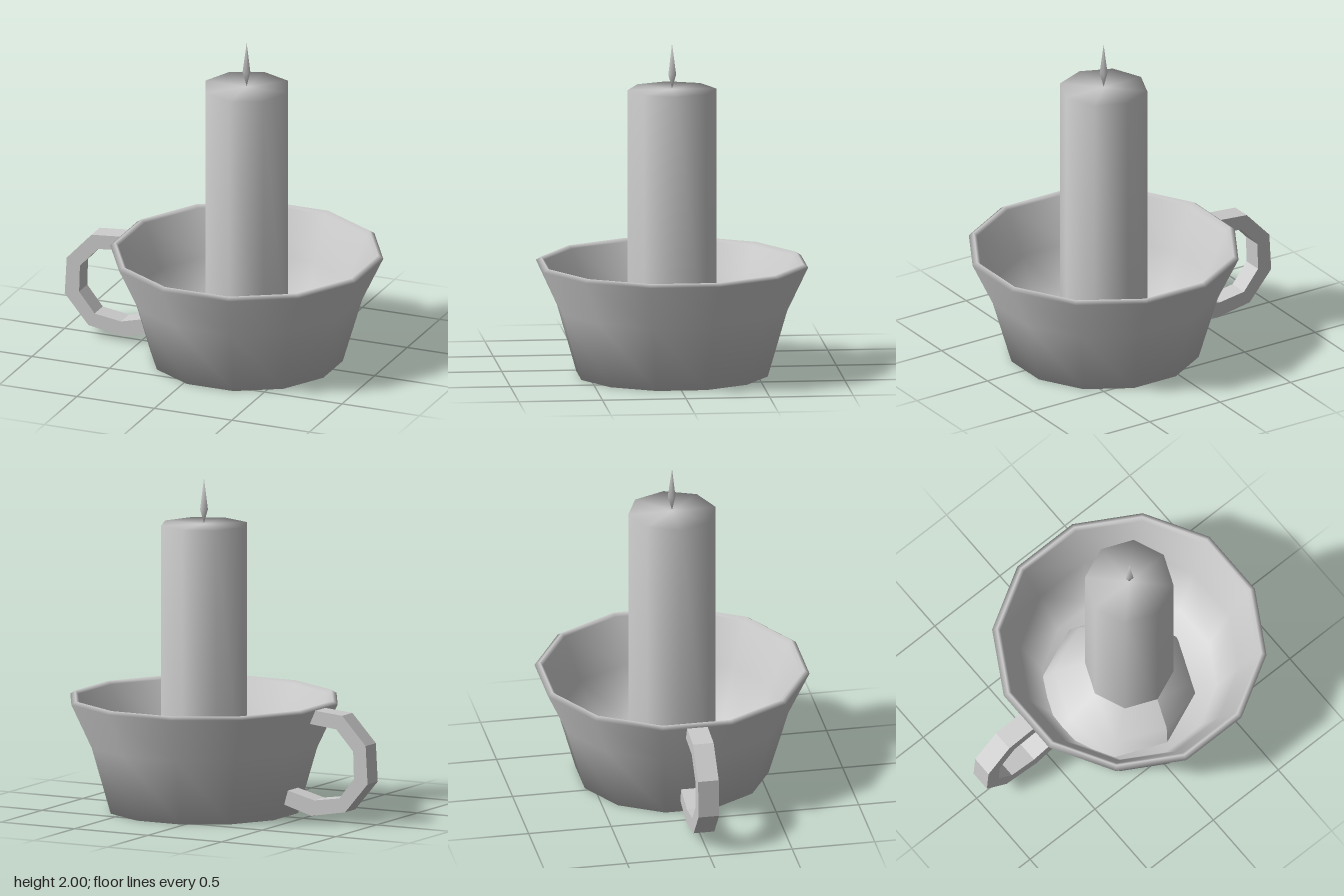
import * as THREE from 'three';

const AXIS_X = 0.175; // the bowl and candle stand off-centre to balance the handle

const material = () => new THREE.MeshStandardMaterial({ color: 0xcccccc });

// Faceted turned part from [radius, height] pairs, listed from the outside bottom upward.
function turned(name, profile, sides, turn = 0) {
  const points = profile.map(([r, y]) => new THREE.Vector2(r, y));
  const mesh = new THREE.Mesh(new THREE.LatheGeometry(points, sides, turn), material());
  mesh.name = name;
  mesh.position.x = AXIS_X;
  return mesh;
}

export function createModel() {
  const group = new THREE.Group();
  group.name = 'candleHolder';

  // Twelve-sided bowl with a thin wall and a bevelled rim
  group.add(turned('bowl', [
    [0, 0], [0.577, 0], [0.694, 0.4], [0.82, 0.665], [0.79, 0.685],
    [0.77, 0.665], [0.655, 0.4], [0.52, 0.05], [0, 0.05],
  ], 12, Math.PI / 12));

  // Eight-sided candle
  group.add(turned('candle', [[0.265, 0.05], [0.265, 1.72], [0, 1.72]], 8));

  // Pool of melted wax, its foot leaning toward the handle
  const wax = turned('meltedWax', [[0.46, 0.05], [0.41, 0.13], [0.26, 0.24]], 8);
  const pos = wax.geometry.attributes.position;
  for (let i = 0; i < pos.count; i++) {
    pos.setX(i, pos.getX(i) - 0.085 * (0.24 - pos.getY(i)) / 0.19);
  }
  wax.geometry.computeVertexNormals();
  group.add(wax);

  // Three-sided flame
  group.add(turned('flame', [[0, 1.725], [0.027, 1.81], [0, 2]], 3, -Math.PI / 2));

  // Angular handle, cut from a flat C shape
  const outline = [
    [-0.59, 0.668], [-0.8, 0.65], [-0.96, 0.48], [-0.973, 0.25], [-0.82, 0.07],
    [-0.59, 0.03], [-0.4, 0.085], [-0.39, 0.18], [-0.61, 0.125], [-0.78, 0.15],
    [-0.88, 0.275], [-0.875, 0.44], [-0.76, 0.565], [-0.565, 0.585],
  ].map(([x, y]) => new THREE.Vector2(x, y));
  const depth = 0.125;
  const handleGeometry = new THREE.ExtrudeGeometry(new THREE.Shape(outline), { depth, bevelEnabled: false });
  handleGeometry.translate(0, 0, -depth / 2);
  const handle = new THREE.Mesh(handleGeometry, material());
  handle.name = 'handle';
  group.add(handle);

  return group;
}
